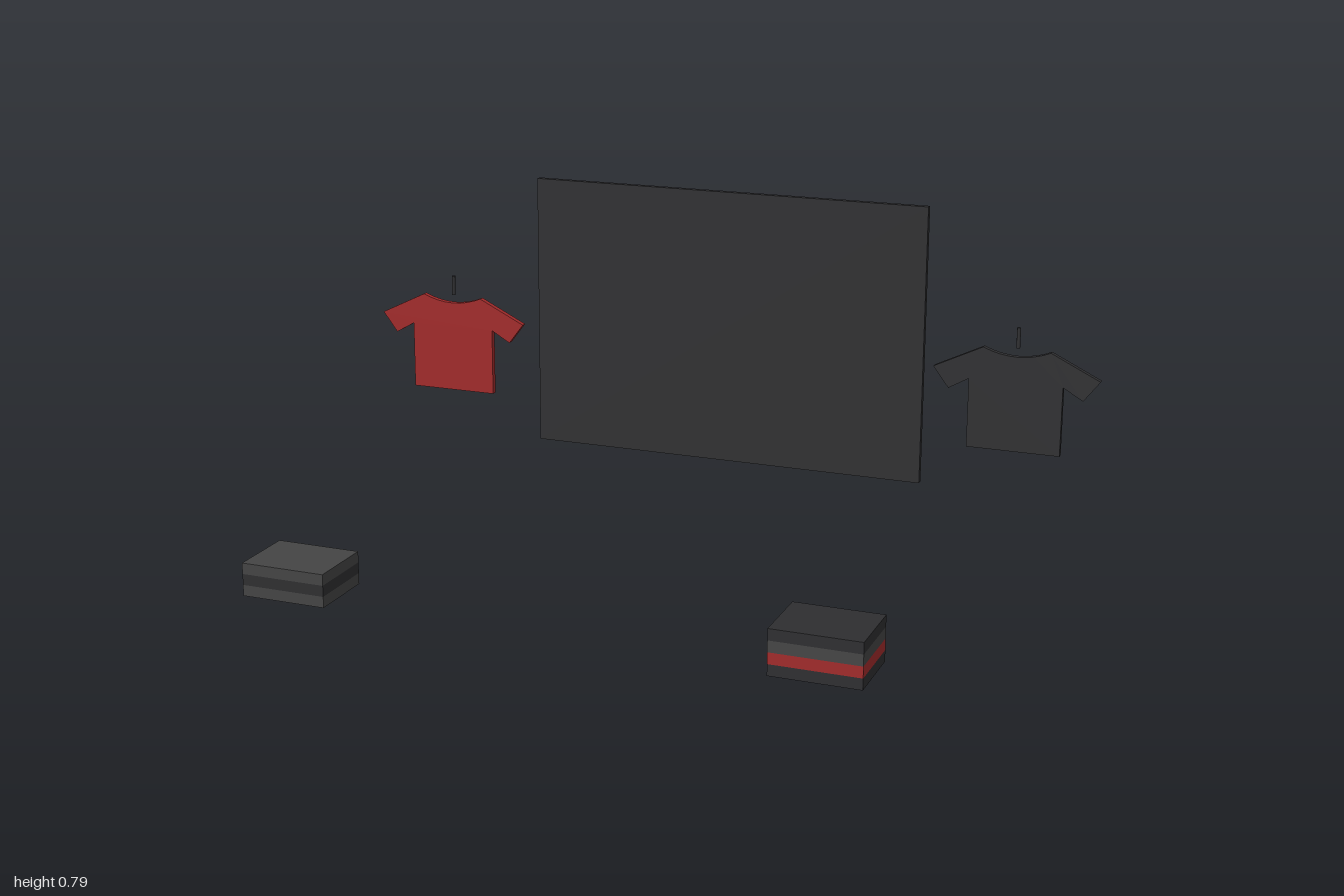
import * as THREE from 'three';

const material = (color) => new THREE.MeshStandardMaterial({ color });
const black = material(0x2e2e30);
const grey = material(0x444444);
const red = material(0xa02a2a);

function addMesh(parent, name, geometry, mat, x, y, z) {
  const mesh = new THREE.Mesh(geometry, mat);
  mesh.name = name;
  mesh.position.set(x, y, z);
  parent.add(mesh);
  return mesh;
}

// T-shirt outline, centred on x = 0
function shirtGeometry() {
  const half = [[0.086, 0.45], [0.213, 0.388], [0.172, 0.334], [0.12, 0.364], [0.12, 0.184]];
  const shape = new THREE.Shape();
  shape.moveTo(...half[0]);
  half.slice(1).forEach(([x, y]) => shape.lineTo(x, y));
  [...half].reverse().forEach(([x, y]) => shape.lineTo(-x, y));
  shape.quadraticCurveTo(0, 0.413, 0.086, 0.45); // neckline
  return new THREE.ExtrudeGeometry(shape, { depth: 0.016, bevelEnabled: false, curveSegments: 8 });
}

// Shirt with the hook it hangs from
function hangingShirt(name, x, mat) {
  const group = new THREE.Group();
  group.name = name;
  addMesh(group, 'shirt', shirtGeometry(), mat, 0, 0, -0.588);
  addMesh(group, 'hook', new THREE.CylinderGeometry(0.005, 0.005, 0.053, 8), black, 0, 0.4785, -0.585);
  group.position.x = x;
  return group;
}

// Pile of folded garments, listed from the bottom up
function foldedStack(name, x, layers) {
  const group = new THREE.Group();
  group.name = name;
  const h = 0.027;
  layers.forEach((mat, i) => {
    addMesh(group, `foldedGarment${i + 1}`, new THREE.BoxGeometry(0.212, h, 0.17), mat, 0, h * (i + 0.5), 0);
  });
  group.position.set(x, 0, 0.535);
  return group;
}

export function createModel() {
  const model = new THREE.Group();
  model.name = 'clothingDisplay';

  // Back wall panel
  addMesh(model, 'backPanel', new THREE.BoxGeometry(1.078, 0.73, 0.016), black, 0, 0.425, -0.612);

  model.add(
    hangingShirt('rightShirt', -0.787, red),
    hangingShirt('leftShirt', 0.787, black),
    foldedStack('rightStack', -0.642, [grey, black, grey]),
    foldedStack('leftStack', 0.642, [black, red, grey, black])
  );
  return model;
}
